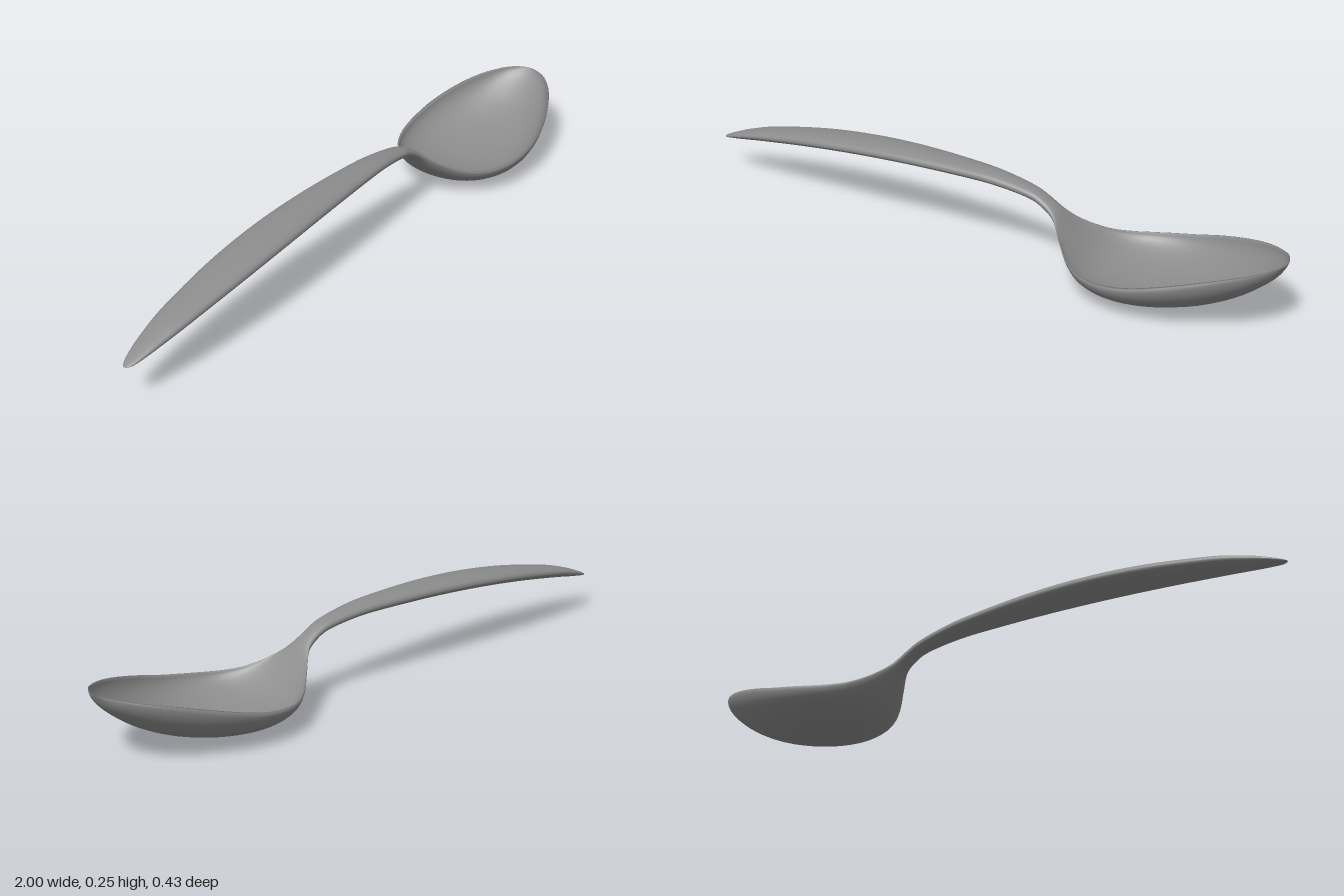
import * as THREE from 'three';

// Stations along the spoon: [x, half width, edge height, centre top, centre bottom]
const STATIONS = [
  [-1, 0, 0.11, 0.11, 0.11],
  [-0.985, 0.015, 0.113, 0.118, 0.108],
  [-0.95, 0.026, 0.123, 0.132, 0.113],
  [-0.9, 0.036, 0.136, 0.15, 0.121],
  [-0.8, 0.05, 0.158, 0.177, 0.138],
  [-0.6, 0.064, 0.189, 0.213, 0.167],
  [-0.4, 0.067, 0.21, 0.235, 0.188],
  [-0.2, 0.06, 0.221, 0.245, 0.2],
  [0, 0.047, 0.223, 0.244, 0.204],
  [0.1, 0.039, 0.219, 0.238, 0.202],
  [0.2, 0.031, 0.206, 0.222, 0.19],
  [0.25, 0.028, 0.189, 0.205, 0.173],
  [0.3, 0.036, 0.16, 0.172, 0.138],
  [0.35, 0.078, 0.122, 0.115, 0.085],
  [0.4, 0.125, 0.095, 0.066, 0.044],
  [0.45, 0.164, 0.085, 0.036, 0.019],
  [0.5, 0.191, 0.085, 0.022, 0.007],
  [0.56, 0.209, 0.091, 0.014, 0],
  [0.63, 0.215, 0.103, 0.015, 0.002],
  [0.71, 0.207, 0.124, 0.027, 0.014],
  [0.8, 0.181, 0.149, 0.053, 0.04],
  [0.88, 0.144, 0.17, 0.09, 0.078],
  [0.94, 0.103, 0.183, 0.131, 0.12],
  [0.98, 0.058, 0.192, 0.167, 0.158],
  [1, 0, 0.195, 0.195, 0.195],
];
const STEPS = 6; // rings between stations
const HALF = 28; // points on each half of a ring

// Catmull-Rom through the stations; the mirrored end points round off both tips
function stationAt(u) {
  const last = STATIONS.length - 1;
  const mirrored = ([x, w, ...rest]) => [x, -w, ...rest];
  const get = (i) => (i < 0 ? mirrored(STATIONS[1]) : i > last ? mirrored(STATIONS[last - 1]) : STATIONS[i]);
  const i = Math.min(Math.floor(u), last - 1);
  const t = u - i;
  const [a, b, c, d] = [get(i - 1), get(i), get(i + 1), get(i + 2)];
  return b.map((p, k) => p + 0.5 * t * (c[k] - a[k]
    + t * (2 * a[k] - 5 * p + 4 * c[k] - d[k] + t * (3 * (p - c[k]) + d[k] - a[k]))));
}

// Closed section: lower half ellipse, then upper half (full-shouldered handle, hollow bowl)
function addRing(positions, [x, w, edge, top, bottom]) {
  const bowl = THREE.MathUtils.smoothstep(x, 0.2, 0.45);
  const lip = 0.035 * w * bowl;
  const power = THREE.MathUtils.lerp(0.8, 1, bowl);
  for (let j = 0; j <= HALF; j++) {
    const a = (Math.PI * j) / HALF;
    positions.push(x, edge + (bottom - edge) * Math.sin(a), w * Math.cos(a));
  }
  for (let j = 0; j <= HALF; j++) {
    const a = (Math.PI * j) / HALF;
    const rise = Math.max(Math.sin(a), 0) ** power;
    positions.push(x, edge + 0.25 * lip + (top - edge) * rise, -(w - lip) * Math.cos(a));
  }
}

function loftGeometry() {
  const positions = [];
  const index = [];
  const rings = (STATIONS.length - 1) * STEPS;
  const n = 2 * (HALF + 1);
  for (let i = 0; i <= rings; i++) addRing(positions, stationAt(i / STEPS));
  for (let i = 0; i < rings; i++) {
    for (let j = 0; j < n; j++) {
      const a = i * n + j;
      const b = i * n + ((j + 1) % n);
      index.push(a, b, a + n, b, b + n, a + n);
    }
  }
  const geometry = new THREE.BufferGeometry();
  geometry.setAttribute('position', new THREE.Float32BufferAttribute(positions, 3));
  geometry.setIndex(index);
  geometry.computeVertexNormals();
  return geometry;
}

export function createModel() {
  const group = new THREE.Group();
  group.name = 'spoon';
  // Handle, neck and bowl flow into one smooth body of dark steel
  const body = new THREE.Mesh(loftGeometry(), new THREE.MeshStandardMaterial({ color: 0x8c8c8c }));
  body.name = 'handleAndBowl';
  group.add(body);
  return group;
}
